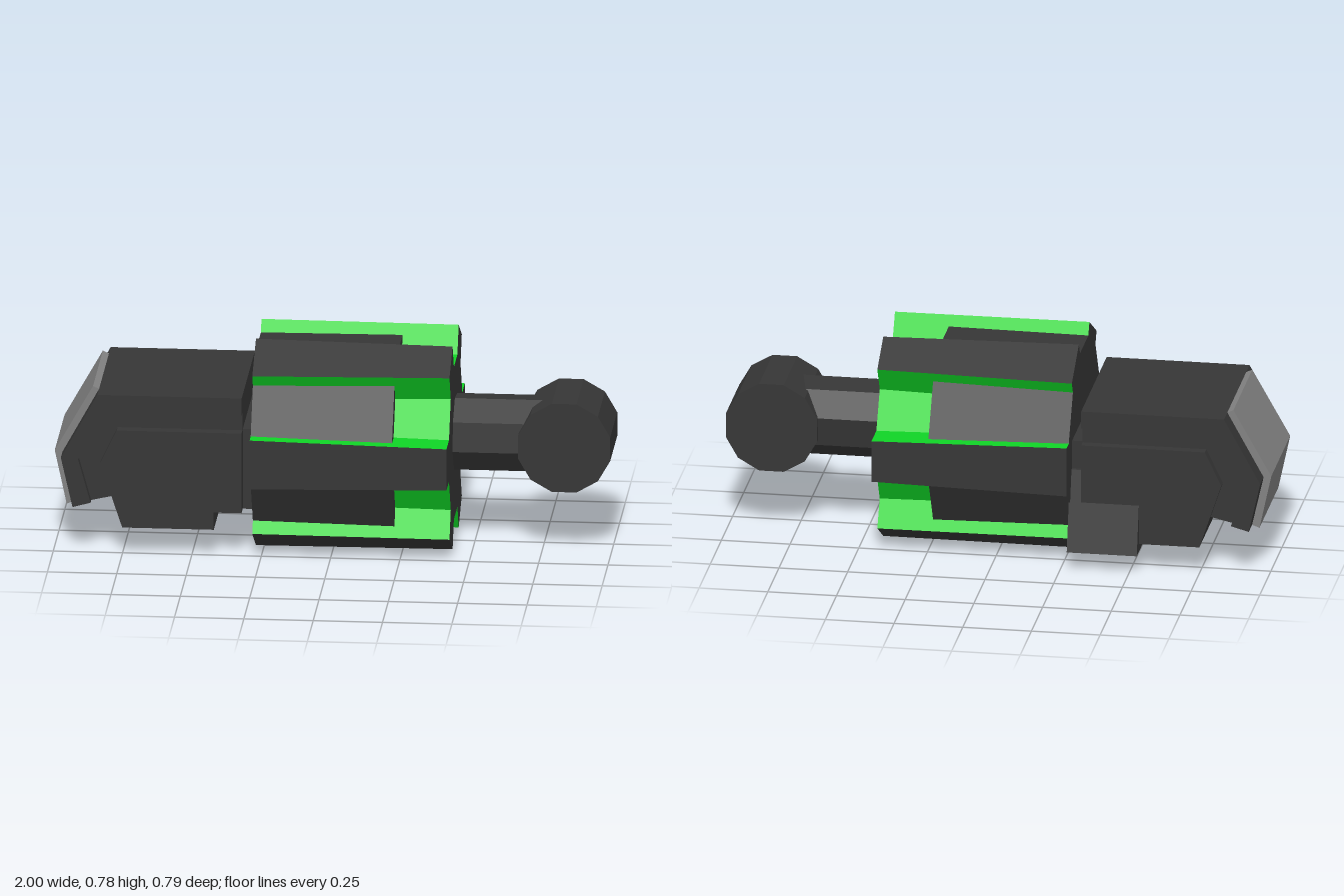
import * as THREE from 'three';

const dark = new THREE.MeshStandardMaterial({ color: 0x363636 });
dark.name = 'charcoal';
const green = new THREE.MeshStandardMaterial({ color: 0x10d426 });
green.name = 'bright green';
const grey = new THREE.MeshStandardMaterial({ color: 0x828282 });
grey.name = 'mid grey';

// Faceted mesh with one normal per face
function part(name, geometry, material) {
  const geo = geometry.index ? geometry.toNonIndexed() : geometry;
  geo.computeVertexNormals();
  const mesh = new THREE.Mesh(geo, material);
  mesh.name = name;
  return mesh;
}

// Side outline (x, y) extruded from z0 to z1
function slab(name, points, z0, z1, material = dark) {
  const shape = new THREE.Shape(points.map(([x, y]) => new THREE.Vector2(x, y)));
  const geo = new THREE.ExtrudeGeometry(shape, { depth: z1 - z0, bevelEnabled: false });
  geo.translate(0, 0, z0);
  return part(name, geo, material);
}

// Box given by its minimum and maximum corners
function box(x0, x1, y0, y1, z0, z1) {
  const geo = new THREE.BoxGeometry(x1 - x0, y1 - y0, z1 - z0);
  return geo.translate((x0 + x1) / 2, (y0 + y1) / 2, (z0 + z1) / 2);
}

// Moves each vertex of a geometry by a rule
function reshape(geo, rule) {
  const pos = geo.attributes.position;
  const v = new THREE.Vector3();
  for (let i = 0; i < pos.count; i++) {
    v.fromBufferAttribute(pos, i);
    rule(v);
    pos.setXYZ(i, v.x, v.y, v.z);
  }
  return geo;
}

function createDrum() {
  const drum = new THREE.Group();
  drum.name = 'drum';
  drum.position.y = 0.389;

  // Hexagonal core, whose sides are the floors of the slots
  const core = new THREE.CylinderGeometry(0.331, 0.331, 0.71, 6);
  core.rotateZ(-Math.PI / 2).translate(0.075, 0, 0);
  drum.add(part('drumCore', core, [green, dark, dark]));

  for (let i = 0; i < 6; i++) {
    // Tooth, slightly narrower toward the shaft, with green flanks
    const toothGeo = reshape(box(-0.28, 0.43, 0.2, 0.396, -1, 1), (v) => {
      v.z *= v.x > 0 ? 0.0775 : 0.092;
    });
    const tooth = part('drumTooth', toothGeo, [dark, dark, dark, dark, green, green]);
    tooth.rotation.x = (i + 0.5) * Math.PI / 3;

    // Block filling most of the slot
    const block = part('slotBlock', box(-0.28, 0.23, 0.25, 0.346, -0.112, 0.112), dark);
    block.rotation.x = i * Math.PI / 3;
    drum.add(tooth, block);
  }
  return drum;
}

function createHead() {
  const head = new THREE.Group();
  head.name = 'head';

  // Outer shell wrapping over the top and the end
  head.add(slab('headShell', [
    [-0.32, 0.595], [-0.84, 0.595], [-0.972, 0.355], [-0.93, 0.17], [-0.865, 0.188],
    [-0.91, 0.35], [-0.815, 0.53], [-0.32, 0.53],
  ], -0.315, 0.258));

  // Recessed layer inside the shell
  head.add(slab('headInner', [
    [-0.32, 0.54], [-0.82, 0.54], [-0.92, 0.35], [-0.865, 0.188], [-0.77, 0.21], [-0.32, 0.21],
  ], -0.28, 0.225));

  // Central housing standing out on both sides
  head.add(slab('headHousing', [
    [-0.32, 0.465], [-0.77, 0.465], [-0.83, 0.34], [-0.75, 0.1],
    [-0.42, 0.1], [-0.42, 0.165], [-0.32, 0.165],
  ], -0.315, 0.265));

  // Collar joining the head to the drum
  head.add(part('collar', box(-0.45, -0.275, 0.165, 0.465, -0.27, 0.21), dark));

  // Wedge under the back, its rear face leaning outward at the foot
  head.add(part('rearWedge', reshape(box(-0.53, -0.275, 0.07, 0.36, -0.362, -0.16), (v) => {
    if (v.y > 0.3 && v.z < -0.3) v.z = -0.285;
  }), dark));

  // Bent grey plate on the end
  head.add(slab('endPlate', [
    [-0.84, 0.595], [-0.862, 0.605], [-1, 0.36], [-0.957, 0.16], [-0.93, 0.17], [-0.972, 0.355],
  ], -0.24, 0.185, grey));
  return head;
}

export function createModel() {
  const model = new THREE.Group();
  model.name = 'model';
  model.add(createDrum(), createHead());

  // Shaft running from the drum into the hub
  const shaft = new THREE.CylinderGeometry(0.141, 0.141, 0.36, 8);
  shaft.rotateY(0.26).rotateZ(-Math.PI / 2).translate(0.58, 0.41, -0.003);
  model.add(part('shaft', shaft, dark));

  // Twelve-sided hub lying across the shaft
  const hubRadius = 0.166 / Math.cos(Math.PI / 12);
  const hub = new THREE.CylinderGeometry(hubRadius, hubRadius, 0.304, 12);
  hub.rotateY(Math.PI / 12).rotateX(Math.PI / 2).translate(0.834, 0.405, 0);
  model.add(part('hub', hub, dark));
  return model;
}
